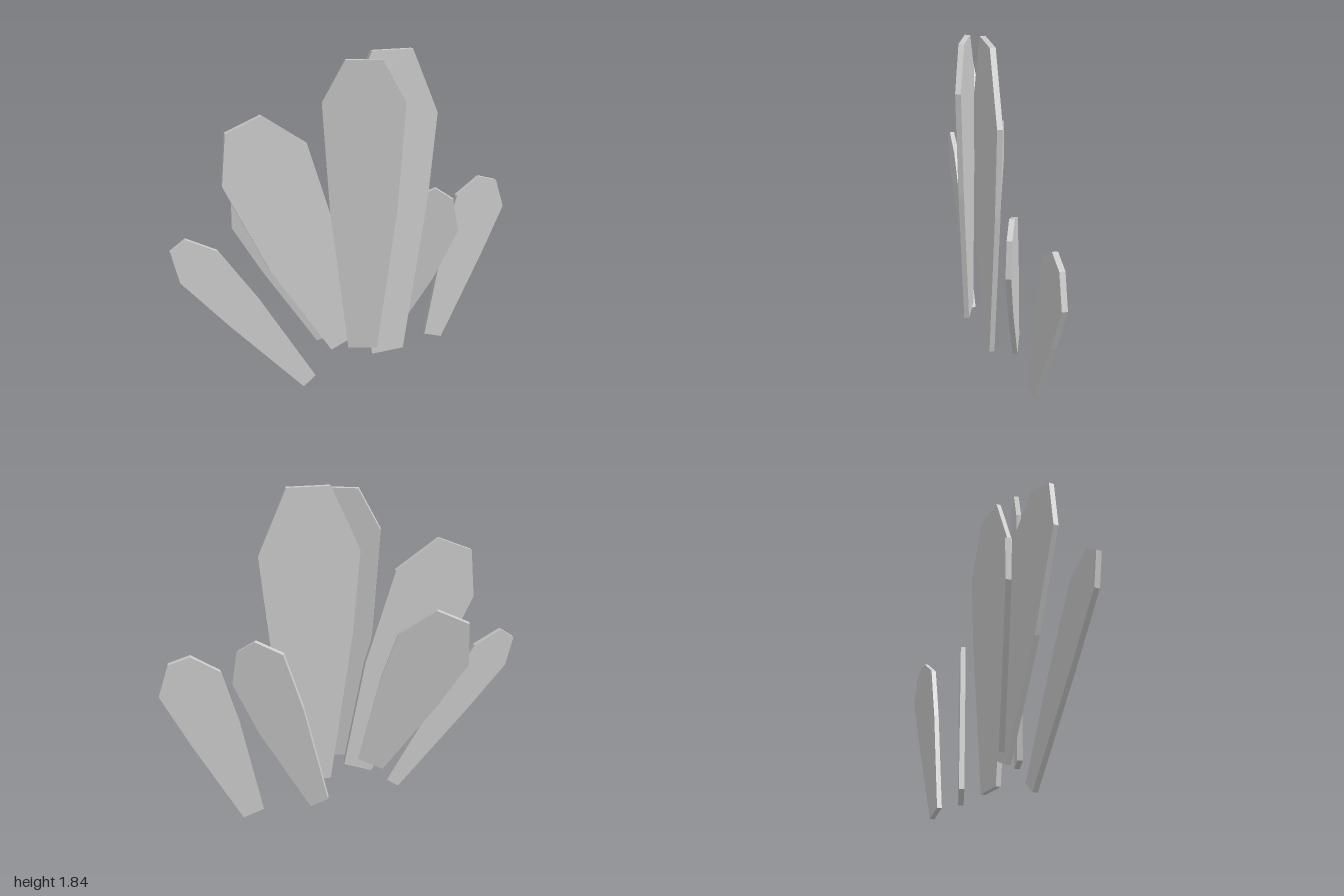
import * as THREE from 'three';

const THICKNESS = 0.028;
const YAW = THREE.MathUtils.degToRad(20);

// Outline of each slab as seen from the front, counter-clockwise from the
// lower left: base, right shoulder, tip, left shoulder.
// z is where the slab's plane crosses x = 0; yaw turns its right end forward.
const SLABS = [
  { name: 'centreFrontSlab', z: 0.131, yaw: YAW, outline: [
    [-0.08, 0.22], [0.07, 0.22], [0.163, 1.04], [0.195, 1.6],
    [0.083, 1.81], [-0.09, 1.81], [-0.168, 1.04], [-0.2, 1.6]] },
  { name: 'centreBackSlab', z: 0.054, yaw: 0, outline: [
    [0.08, 0.12], [0.275, 0.12], [0.405, 1.03], [0.445, 1.5],
    [0.29, 1.84], [0.065, 1.84], [-0.05, 1.03], [-0.09, 1.5]] },
  { name: 'tallRightSlab', z: 0.004, yaw: 0, outline: [
    [-0.15, 0.17], [0.01, 0.235], [-0.11, 0.87], [-0.27, 1.39],
    [-0.5, 1.55], [-0.685, 1.475], [-0.49, 0.72], [-0.715, 1.21]] },
  { name: 'backRightSlab', z: 0.018, yaw: YAW, outline: [
    [-0.21, 0.21], [-0.075, 0.265], [-0.185, 0.78], [-0.27, 1.06],
    [-0.46, 1.205], [-0.62, 1.14], [-0.485, 0.645], [-0.63, 0.905]] },
  { name: 'backLeftSlab', z: -0.174, yaw: YAW, outline: [
    [0.13, 0.1], [0.225, 0.04], [0.49, 0.51], [0.613, 0.8],
    [0.58, 0.99], [0.485, 1.055], [0.25, 0.67], [0.345, 0.99]] },
  { name: 'outerRightSlab', z: 0.052, yaw: 0, outline: [
    [-0.335, 0.0], [-0.265, 0.055], [-0.56, 0.575], [-0.765, 0.89],
    [-0.92, 0.975], [-1.0, 0.92], [-0.73, 0.46], [-0.965, 0.75]] },
  { name: 'outerLeftSlab', z: -0.109, yaw: 0, outline: [
    [0.5, 0.08], [0.615, 0.04], [0.865, 0.55], [1.0, 0.85],
    [0.94, 1.02], [0.825, 1.055], [0.6, 0.64], [0.68, 0.955]] },
];

// Flat tapered slab with a faceted tip
function makeSlab({ name, z, yaw, outline }, material) {
  const [b0, b1, midR, wideR, tipR, tipL, midL, wideL] = outline;
  const points = [b0, b1, midR, wideR, tipR, tipL, wideL, midL]
    .map(([x, y]) => new THREE.Vector2(x / Math.cos(yaw), y));
  const geometry = new THREE.ExtrudeGeometry(new THREE.Shape(points), {
    depth: THICKNESS, bevelEnabled: false,
  });
  geometry.translate(0, 0, -THICKNESS / 2);
  const mesh = new THREE.Mesh(geometry, material);
  mesh.name = name;
  mesh.rotation.y = -yaw;
  mesh.position.z = z;
  return mesh;
}

export function createModel() {
  const group = new THREE.Group();
  group.name = 'slabCluster';
  const material = new THREE.MeshStandardMaterial({ color: 0xcccccc, flatShading: true });
  for (const slab of SLABS) group.add(makeSlab(slab, material));
  return group;
}
